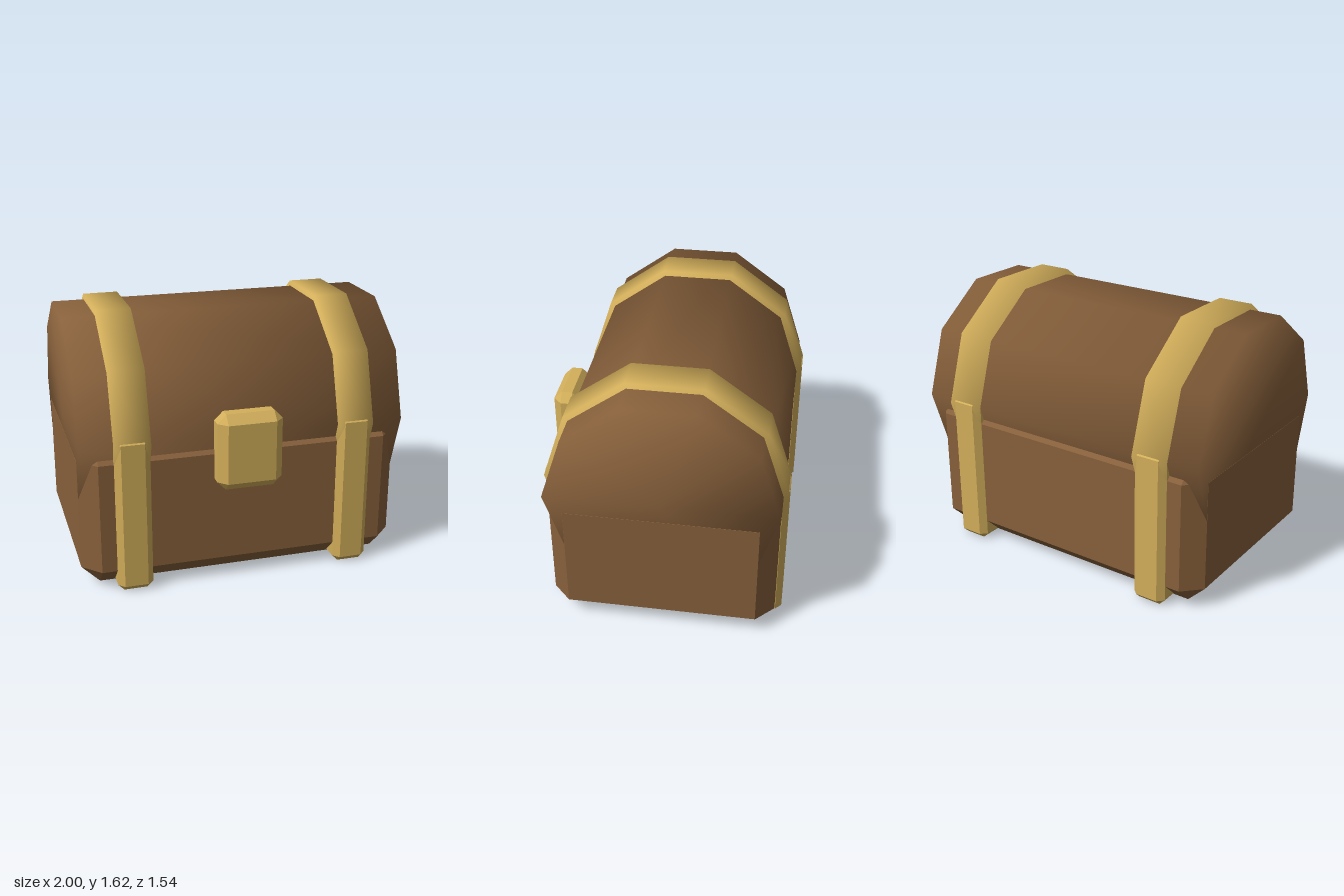
import * as THREE from 'three';
import { ConvexGeometry } from 'three/addons/geometries/ConvexGeometry.js';

const CENTRE_Z = -0.045;
const LID_Y = 0.93;

// Box between two corners with every edge cut at 45 degrees
function chamferBox(min, max, c) {
  const points = [];
  for (const sx of [0, 1]) for (const sy of [0, 1]) for (const sz of [0, 1]) {
    const side = [sx, sy, sz];
    for (let flush = 0; flush < 3; flush++) {
      const p = side.map((s, i) => {
        const inset = i === flush ? 0 : c;
        return s ? max[i] - inset : min[i] + inset;
      });
      points.push(new THREE.Vector3(...p));
    }
  }
  return new ConvexGeometry(points);
}

// Ten-sided drum along x, shaded smoothly across its rim and end caps
function smoothDrum(radius, length) {
  const geo = new THREE.CylinderGeometry(radius, radius, length, 10, 1);
  geo.rotateZ(Math.PI / 2);
  const pos = geo.attributes.position;
  const n = new THREE.Vector3();
  for (let i = 0; i < pos.count; i++) {
    n.set(Math.sign(pos.getX(i)) * 0.84, pos.getY(i) / radius, pos.getZ(i) / radius).normalize();
    geo.attributes.normal.setXYZ(i, n.x, n.y, n.z);
  }
  return geo;
}

export function createModel() {
  const wood = new THREE.MeshStandardMaterial({ color: 0x87603b });
  wood.name = 'brown wood';
  const brass = new THREE.MeshStandardMaterial({ color: 0xd3af5b });
  brass.name = 'golden brass';

  const chest = new THREE.Group();
  chest.name = 'treasureChest';

  const add = (name, geometry, material, x = 0, y = 0, z = 0) => {
    const mesh = new THREE.Mesh(geometry, material);
    mesh.name = name;
    mesh.position.set(x, y, z);
    chest.add(mesh);
  };

  // Wooden base and rounded lid
  add('base', chamferBox([-1, 0.02, -0.73], [1, 0.93, 0.64], 0.11), wood);
  add('lid', smoothDrum(0.69, 1.998), wood, 0, LID_Y, CENTRE_Z);

  // Metal straps around the base and bands over the lid
  for (const [side, x] of [['left', 0.69], ['right', -0.69]]) {
    add(side + 'BaseStrap', chamferBox([x - 0.108, 0, -0.77], [x + 0.108, 0.983, 0.68], 0.037), brass);
    add(side + 'LidBand', smoothDrum(0.725, 0.216), brass, x, LID_Y, CENTRE_Z);
  }

  // Lock plate on the front
  add('lock', chamferBox([-0.2, 0.62, 0.6], [0.2, 1.093, 0.773], 0.053), brass);

  return chest;
}
